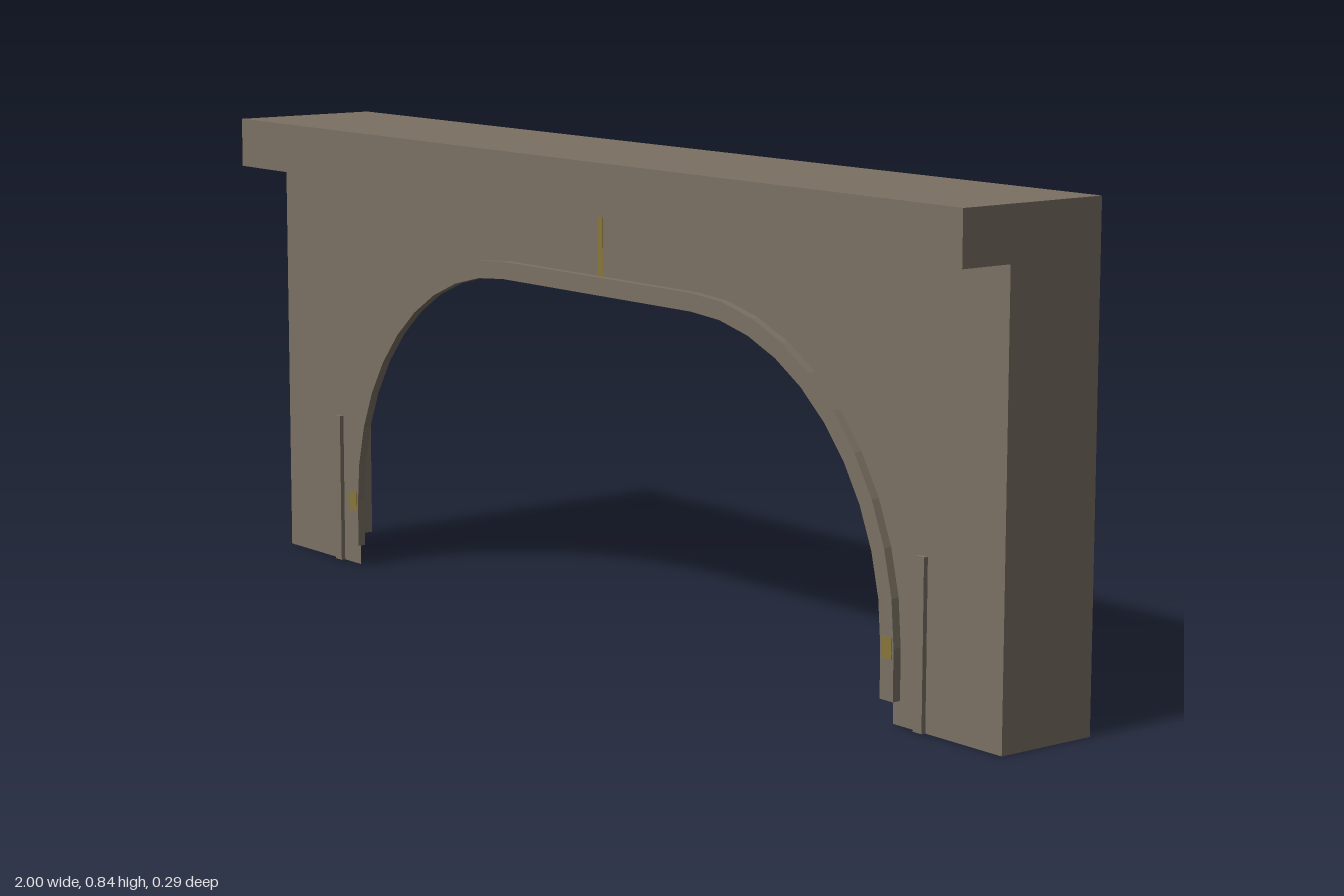
import * as THREE from 'three';

const BACK = -0.143, FRONT = 0.143, PANEL = 0.045, TOP = 0.84, SHELF = 0.75;

const stone = new THREE.MeshStandardMaterial({ color: 0x7a7062, side: THREE.DoubleSide });
stone.name = 'taupe';
const ochre = new THREE.MeshStandardMaterial({ color: 0x87753a });
ochre.name = 'ochre';

// Flat-topped arch of radius r, from the -x foot to the +x foot
function arch(r, footY) {
  const right = [], n = 10;
  for (let i = 0; i <= n; i++) {
    const a = (i / n) * Math.PI / 2;
    right.push([0.265 + r * Math.cos(a), 0.125 + r * Math.sin(a)]);
  }
  right.unshift([0.265 + r, footY]);
  return [...right.map(([x, y]) => [-x, y]), ...right.reverse()];
}

const shapeOf = (pts) => new THREE.Shape(pts.map(([x, y]) => new THREE.Vector2(x, y)));

export function createModel() {
  const model = new THREE.Group();
  const add = (name, geometry, material = stone, x = 0, y = 0, z = 0) => {
    const mesh = new THREE.Mesh(geometry, material);
    mesh.name = name;
    mesh.position.set(x, y, z);
    model.add(mesh);
    return mesh;
  };

  // Front panel with the arch opening and slots behind the raised strips
  const leftFoot = [[-1, 0], [-0.83, 0], [-0.83, 0.28], [-0.81, 0.28], [-0.81, 0]];
  const rightFoot = leftFoot.map(([x, y]) => [-x, y]).reverse();
  add('frontPanel', new THREE.ShapeGeometry(shapeOf([
    ...leftFoot, ...arch(0.49, 0), ...rightFoot, [1, SHELF], [-1, SHELF],
  ])), stone, 0, 0, PANEL);

  // Hollow overhanging ledge
  add('topPlate', new THREE.PlaneGeometry(2, FRONT - BACK).rotateX(-Math.PI / 2), stone, 0, TOP, 0);
  add('ledgeFront', new THREE.PlaneGeometry(2, TOP - SHELF), stone, 0, (TOP + SHELF) / 2, FRONT);
  add('ledgeUnderside', new THREE.PlaneGeometry(2, FRONT - PANEL).rotateX(Math.PI / 2),
    stone, 0, SHELF, (FRONT + PANEL) / 2);

  // End walls
  const endProfile = [[BACK, 0], [PANEL, 0], [PANEL, SHELF], [FRONT, SHELF], [FRONT, TOP], [BACK, TOP]];
  for (const s of [-1, 1]) {
    const wall = new THREE.ShapeGeometry(shapeOf(endProfile)).rotateY(-Math.PI / 2);
    if (s > 0) wall.index.array.reverse();
    if (s > 0) wall.computeVertexNormals();
    add(s > 0 ? 'leftEndWall' : 'rightEndWall', wall, stone, s, 0, 0);
  }

  // Raised arch trim
  add('archTrim', new THREE.ExtrudeGeometry(
    shapeOf([...arch(0.506, 0.04), ...arch(0.475, 0.04).reverse()]),
    { depth: 0.015, bevelEnabled: false }), stone, 0, 0, PANEL);

  // L-shaped bracket inside, at the middle
  add('centreBracket', new THREE.ExtrudeGeometry(
    shapeOf([[PANEL - 0.001, 0.615], [PANEL - 0.001, 0.838], [-0.14, 0.838],
      [-0.14, 0.76], [-0.005, 0.76], [-0.005, 0.615]]),
    { depth: 0.02, bevelEnabled: false }).rotateY(-Math.PI / 2), stone, 0.01, 0, 0);
  add('centreMark', new THREE.BoxGeometry(0.016, 0.12, 0.002), ochre, 0, 0.69, PANEL);

  for (const s of [-1, 1]) {
    // Raised strips, open at the back
    const x = s * 0.82, d = 0.008, z = PANEL + d / 2;
    add('stripFace', new THREE.PlaneGeometry(0.02, 0.28), stone, x, 0.14, PANEL + d);
    add('stripTop', new THREE.PlaneGeometry(0.02, d).rotateX(-Math.PI / 2), stone, x, 0.28, z);
    for (const e of [-1, 1]) {
      add('stripSide', new THREE.PlaneGeometry(d, 0.28).rotateY(e * Math.PI / 2),
        stone, x + e * 0.01, 0.14, z);
    }
    // Small marks on the trim feet
    add('footMark', new THREE.BoxGeometry(0.024, 0.035, 0.002), ochre, s * 0.755, 0.125, PANEL + 0.015);
  }
  return model;
}
